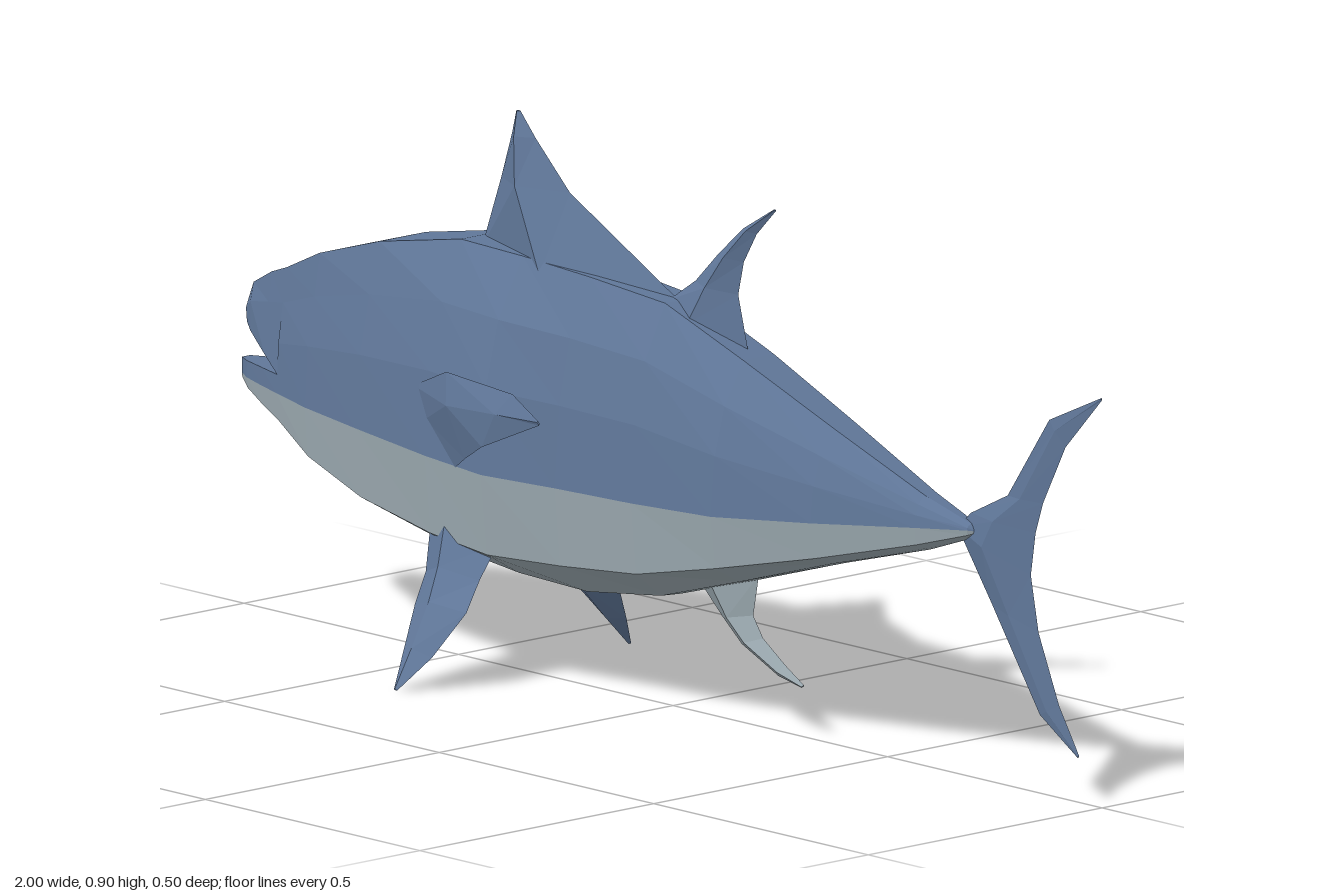
import * as THREE from 'three';

const blue = new THREE.MeshStandardMaterial({ color: 0x607799 });
blue.name = 'slateBlue';
const grey = new THREE.MeshStandardMaterial({ color: 0x9caab1 });
grey.name = 'bellyGrey';

// Flat-faced skin over a list of rings of [x, y, z] points
function skin(name, rings, material, { closed = false, flip = false } = {}) {
  const pos = [];
  const v = p => new THREE.Vector3(...p);
  const tri = (a, b, c) => {
    const area = v(b).sub(v(a)).cross(v(c).sub(v(a))).length();
    if (area > 1e-9) pos.push(...a, ...(flip ? c : b), ...(flip ? b : c));
  };
  for (let i = 0; i < rings.length - 1; i++) {
    const r = rings[i], s = rings[i + 1], n = r.length;
    for (let j = 0; j < (closed ? n : n - 1); j++) {
      const k = (j + 1) % n;
      tri(r[j], r[k], s[k]);
      tri(r[j], s[k], s[j]);
    }
  }
  const geo = new THREE.BufferGeometry();
  geo.setAttribute('position', new THREE.Float32BufferAttribute(pos, 3));
  geo.computeVertexNormals();
  const mesh = new THREE.Mesh(geo, material);
  mesh.name = name;
  return mesh;
}

// Half section points [y, z], top to bottom -> both halves of an arch or a trough
const arch = (x, half) => [
  ...half.slice(1).reverse().map(([y, z]) => [x, y, -z]),
  ...half.map(([y, z]) => [x, y, z]),
];
const trough = (x, half) => [
  ...half.map(([y, z]) => [x, y, z]),
  ...half.slice(0, -1).reverse().map(([y, z]) => [x, y, -z]),
];

// Diamond-section fin; rows are [leading point, trailing point, half thickness]
function fin(name, rows, material, normal = [0, 0, 1], mirror = false) {
  const n = new THREE.Vector3(...normal).normalize();
  const rings = rows.map(([f, b, t]) => {
    const F = new THREE.Vector3(...f), B = new THREE.Vector3(...b);
    const mid = F.clone().lerp(B, 0.4);
    return [F, mid.clone().addScaledVector(n, t), B, mid.clone().addScaledVector(n, -t)]
      .map(p => [p.x, p.y, mirror ? -p.z : p.z]);
  });
  const m0 = rings[0], m1 = rings[rings.length - 1];
  const centre = r => r.map(() => [0, 1, 2].map(k => (r[0][k] + r[2][k]) / 2));
  return skin(name, [centre(m0), ...rings, centre(m1)], material, { closed: true, flip: mirror });
}

export function createModel() {
  const fish = new THREE.Group();
  fish.name = 'fish';
  const mix = THREE.MathUtils.lerp;

  // Body stations: x, back height, ridge half width, half width, colour line, chine, keel
  const stations = [
    [-0.87, 0.57, 0.028, 0.05, 0.37, 0.325, 0.30],
    [-0.78, 0.61, 0.04, 0.072, 0.365, 0.285, 0.268],
    [-0.63, 0.655, 0.05, 0.1, 0.36, 0.248, 0.227],
    [-0.44, 0.69, 0.05, 0.128, 0.352, 0.225, 0.185],
    [-0.3, 0.685, 0.046, 0.136, 0.345, 0.214, 0.172],
    [-0.15, 0.675, 0.04, 0.115, 0.345, 0.218, 0.165],
    [0.02, 0.66, 0.035, 0.109, 0.348, 0.232, 0.186],
    [0.2, 0.597, 0.033, 0.103, 0.355, 0.27, 0.238],
    [0.4, 0.52, 0.025, 0.073, 0.373, 0.315, 0.298],
    [0.6, 0.443, 0.013, 0.035, 0.393, 0.365, 0.353],
    [0.7, 0.412, 0.005, 0.014, 0.402, 0.394, 0.388],
    [0.715, 0.4, 0, 0, 0.4, 0.4, 0.4],
  ];
  fish.add(skin('upperBody', stations.map(([x, top, ridge, w, line]) => arch(x, [
    [top, 0], [top, ridge], [mix(line, top, 0.72), 0.72 * w],
    [mix(line, top, 0.4), 0.92 * w], [line, w],
  ])), blue));
  fish.add(skin('belly', stations.map(([x, , , w, line, low, bot]) => trough(x, [
    [line, w], [low, 0.9 * w], [bot + 0.003, 0.4 * w], [bot, 0],
  ])), grey));

  // Upper jaw: x, top, ridge half width, shoulder height, shoulder width, lip height, lip width
  const upperJaw = [
    [-0.983, 0.485, 0, 0.485, 0, 0.47, 0],
    [-0.98, 0.5, 0.008, 0.485, 0.014, 0.462, 0.012],
    [-0.96, 0.53, 0.016, 0.5, 0.023, 0.452, 0.023],
    [-0.91, 0.556, 0.023, 0.508, 0.03, 0.425, 0.039],
    [-0.87, 0.57, 0.028, 0.514, 0.036, 0.4, 0.0485],
  ];
  fish.add(skin('upperJaw', upperJaw.map(([x, top, r, sy, sz, ly, lz]) => arch(x, [
    [top, 0], [top, r], [sy, sz], [ly, lz], [ly, 0],
  ])), blue));

  // Lower jaw: x, lip height, half width, colour line, chine, keel
  const lowerJaw = [
    [-1, 0.392, 0, 0.388, 0.385, 0.384],
    [-0.995, 0.402, 0.009, 0.377, 0.37, 0.366],
    [-0.97, 0.402, 0.022, 0.375, 0.358, 0.347],
    [-0.92, 0.401, 0.036, 0.372, 0.34, 0.321],
    [-0.87, 0.4, 0.05, 0.37, 0.325, 0.3],
  ];
  fish.add(skin('lowerLip', lowerJaw.map(([x, lip, w, line]) => arch(x, [
    [lip, 0], [lip, 0.97 * w], [line, w],
  ])), blue));
  fish.add(skin('chin', lowerJaw.map(([x, , w, line, low, bot]) => trough(x, [
    [line, w], [low, 0.9 * w], [bot + 0.003, 0.4 * w], [bot, 0],
  ])), grey));

  // Fins on the centre line, each listed from low to high
  fish.add(fin('firstDorsalFin', [
    [[-0.445, 0.67, 0], [0.03, 0.65, 0], 0.052],
    [[-0.4, 0.79, 0], [-0.24, 0.79, 0], 0.031],
    [[-0.375, 0.865, 0], [-0.32, 0.865, 0], 0.017],
    [[-0.365, 0.903, 0], [-0.355, 0.903, 0], 0.003],
  ], blue));
  fish.add(fin('secondDorsalFin', [
    [[-0.01, 0.655, 0], [0.176, 0.6, 0], 0.03],
    [[0.053, 0.697, 0], [0.152, 0.69, 0], 0.018],
    [[0.107, 0.75, 0], [0.165, 0.745, 0], 0.013],
    [[0.165, 0.8, 0], [0.195, 0.795, 0], 0.008],
    [[0.236, 0.842, 0], [0.24, 0.84, 0], 0.002],
  ], blue));
  fish.add(fin('analFin', [
    [[0.3, 0.08, 0], [0.305, 0.085, 0], 0.003],
    [[0.246, 0.09, 0], [0.262, 0.11, 0], 0.009],
    [[0.16, 0.128, 0], [0.21, 0.145, 0], 0.014],
    [[0.115, 0.165, 0], [0.187, 0.178, 0], 0.018],
    [[0.06, 0.215, 0], [0.2, 0.245, 0], 0.03],
  ], grey));
  fish.add(fin('tailFin', [
    [[0.943, 0.073, 0], [0.947, 0.076, 0], 0.001],
    [[0.855, 0.128, 0], [0.9, 0.15, 0], 0.003],
    [[0.743, 0.289, 0], [0.852, 0.26, 0], 0.005],
    [[0.663, 0.4, 0], [0.834, 0.35, 0], 0.012],
    [[0.695, 0.428, 0], [0.845, 0.42, 0], 0.01],
    [[0.78, 0.47, 0], [0.862, 0.47, 0], 0.005],
    [[0.877, 0.608, 0], [0.915, 0.57, 0], 0.003],
    [[0.998, 0.663, 0], [1, 0.66, 0], 0.001],
  ], blue));

  // Paired fins
  for (const mirror of [false, true]) {
    const side = mirror ? 'right' : 'left';
    fish.add(fin(side + 'PectoralFin', [
      [[-0.487, 0.455, 0.108], [-0.38, 0.337, 0.125], 0.006],
      [[-0.365, 0.503, 0.15], [-0.32, 0.37, 0.152], 0.014],
      [[-0.176, 0.503, 0.182], [-0.25, 0.405, 0.18], 0.01],
      [[-0.1, 0.475, 0.198], [-0.096, 0.468, 0.198], 0.002],
    ], blue, [-0.3, 0.2, 0.9], mirror));
    fish.add(fin(side + 'PelvicFin', [
      [[-0.378, 0.003, 0.25], [-0.37, 0.003, 0.25], 0.002],
      [[-0.4, 0.06, 0.208], [-0.335, 0.055, 0.208], 0.011],
      [[-0.425, 0.12, 0.162], [-0.305, 0.125, 0.162], 0.019],
      [[-0.44, 0.165, 0.125], [-0.315, 0.17, 0.125], 0.026],
      [[-0.468, 0.225, 0.09], [-0.31, 0.225, 0.09], 0.035],
    ], blue, [0, 0.62, 0.78], mirror));
  }
  return fish;
}
